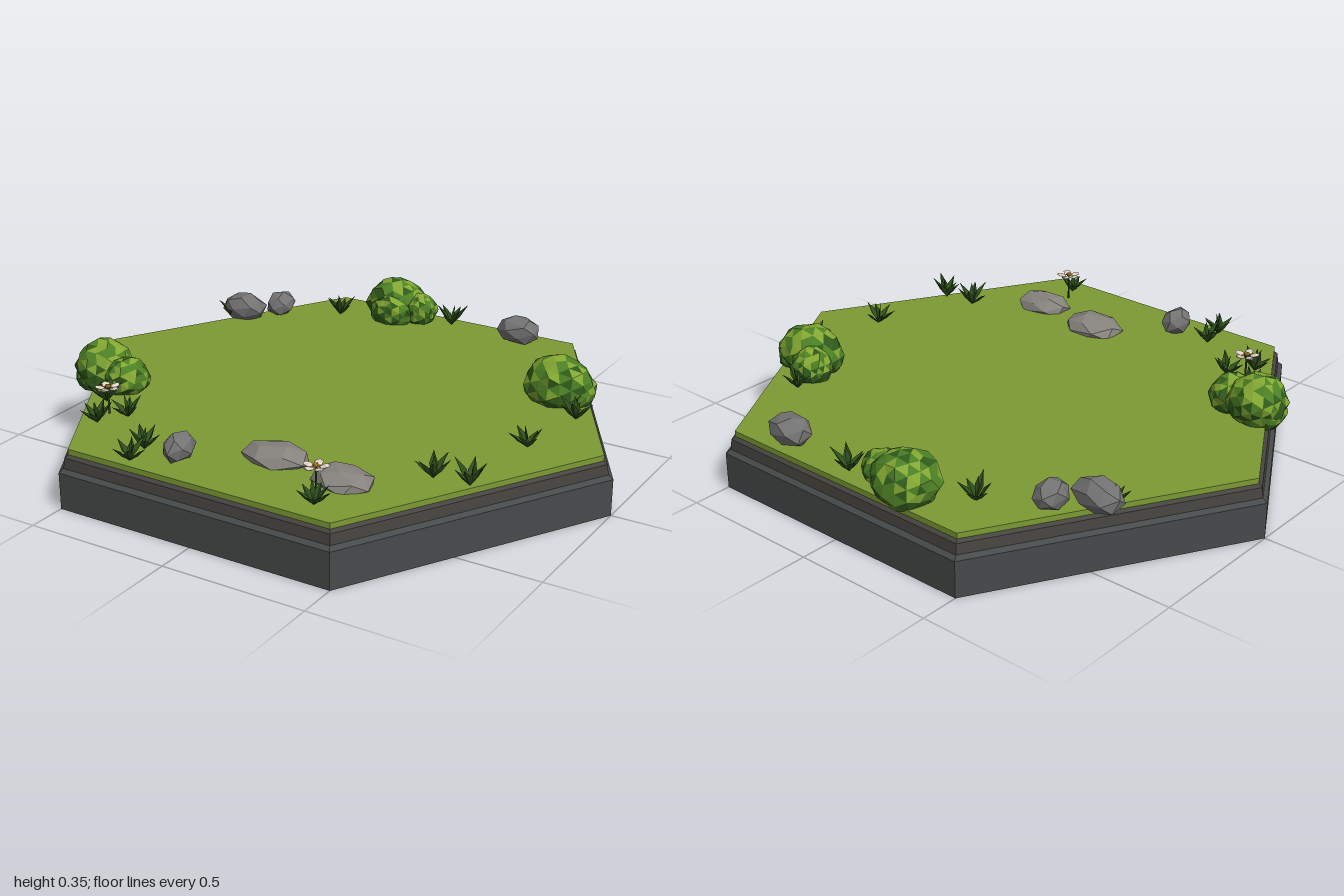
import * as THREE from 'three';
import { ConvexGeometry } from 'three/addons/geometries/ConvexGeometry.js';

const TOP = 0.2; // height of the lawn
const mat = (color, side = THREE.FrontSide) => new THREE.MeshStandardMaterial({ color, flatShading: true, side });
const stone = mat(0x474a4a), soil = mat(0x45443f), lawn = mat(0x7c9a33);
const rockMat = mat(0x87847f), darkRockMat = mat(0x737373);
const leafGreens = [mat(0x2f5a1c), mat(0x4c8024), mat(0x83a832)];
const blade = mat(0x2f4f1c, THREE.DoubleSide), petalMat = mat(0xe6d5c6, THREE.DoubleSide), heartMat = mat(0xc9962e);

// Repeatable pseudo random value from a position
function hash(x, y, z) {
  const s = Math.sin(x * 127.1 + y * 311.7 + z * 74.7) * 43758.5453;
  return s - Math.floor(s);
}
const jitter = (v, seed) => hash(Math.round(v.x * 100) + seed, Math.round(v.y * 100), Math.round(v.z * 100));

function add(parent, name, geometry, material, x = 0, y = 0, z = 0) {
  const mesh = new THREE.Mesh(geometry, material);
  mesh.name = name;
  mesh.position.set(x, y, z);
  parent.add(mesh);
  return mesh;
}

// Hexagonal layer with corners on the x axis
function hexLayer(parent, name, rTop, rBottom, y0, y1, material) {
  const g = new THREE.CylinderGeometry(rTop, rBottom, y1 - y0, 6, 1, false, Math.PI / 2);
  add(parent, name, g, material, 0, (y0 + y1) / 2, 0);
}

// Rounded clump of foliage whose facets take one of three greens
function foliage(rx, ry, rz, seed) {
  const g = new THREE.IcosahedronGeometry(1, 2);
  const p = g.attributes.position, v = new THREE.Vector3();
  for (let i = 0; i < p.count; i++) {
    v.fromBufferAttribute(p, i);
    v.multiplyScalar(0.9 + 0.15 * jitter(v, seed));
    p.setXYZ(i, v.x * rx, v.y * ry, v.z * rz);
  }
  for (let i = 0; i < p.count; i += 3) {
    const height = (p.getY(i) + p.getY(i + 1) + p.getY(i + 2)) / (3 * ry);
    const tone = 0.5 + height * 0.3 + (hash(i, seed, 3) - 0.5) * 1.1;
    g.addGroup(i, 3, tone < 0.36 ? 0 : tone < 0.82 ? 1 : 2);
  }
  return g;
}

// Faceted boulder: hull of points spread over an ellipsoid
function boulder(rx, ry, rz, seed) {
  const points = [], n = 20;
  for (let i = 0; i < n; i++) {
    const y = 1 - (2 * i + 1) / n, r = Math.sqrt(1 - y * y), a = i * 2.4 + seed;
    const k = 0.92 + 0.14 * hash(i, seed, 1);
    points.push(new THREE.Vector3(Math.cos(a) * r * rx * k, y * ry * k, Math.sin(a) * r * rz * k));
  }
  return new ConvexGeometry(points);
}

// Folded pointed leaf leaning outwards along +z
function leafGeometry(reach, height, width) {
  const g = new THREE.BufferGeometry();
  g.setAttribute('position', new THREE.Float32BufferAttribute([
    0, 0, 0,
    -width, height * 0.55, reach * 0.4,
    0, height * 0.4, reach * 0.5,
    width, height * 0.55, reach * 0.4,
    0, height, reach,
  ], 3));
  g.setIndex([0, 2, 1, 0, 3, 2, 1, 2, 4, 2, 3, 4]);
  g.computeVertexNormals();
  return g;
}

function tuft(parent, x, z, seed) {
  const g = new THREE.Group();
  g.name = 'grassTuft';
  g.position.set(x, TOP, z);
  for (let i = 0; i < 6; i++) {
    const k = hash(i, seed, 7);
    const leaf = add(g, 'leaf', leafGeometry(0.046 + 0.018 * k, 0.045 + 0.035 * hash(i, seed, 2), 0.014), blade);
    leaf.rotation.y = (i * Math.PI) / 3 + seed + k * 0.4;
  }
  const upright = add(g, 'centreLeaf', leafGeometry(0.012, 0.08, 0.01), blade);
  upright.rotation.y = seed * 2;
  parent.add(g);
}

function flower(parent, x, z, seed) {
  const g = new THREE.Group();
  g.name = 'flower';
  g.position.set(x, TOP, z);
  add(g, 'stem', new THREE.CylinderGeometry(0.003, 0.004, 0.09, 5), blade, 0, 0.045, 0);
  for (let i = 0; i < 5; i++) {
    const a = (i * Math.PI * 2) / 5 + seed;
    const petal = add(g, 'petal', new THREE.IcosahedronGeometry(1, 0), petalMat, Math.sin(a) * 0.027, 0.092, Math.cos(a) * 0.027);
    petal.scale.set(0.015, 0.005, 0.019);
    petal.rotation.set(-0.2, a, 0, 'YXZ');
  }
  const heart = add(g, 'flowerCentre', new THREE.IcosahedronGeometry(0.011, 0), heartMat, 0, 0.096, 0);
  heart.scale.y = 0.7;
  parent.add(g);
}

export function createModel() {
  const model = new THREE.Group();
  model.name = 'hexagonalGardenTile';

  // Stepped base and lawn
  hexLayer(model, 'stoneBase', 1, 1, 0, 0.125, stone);
  hexLayer(model, 'baseChamfer', 0.983, 1, 0.125, 0.137, stone);
  hexLayer(model, 'soilBand', 0.978, 0.983, 0.137, 0.172, soil);
  hexLayer(model, 'soilChamfer', 0.965, 0.978, 0.172, 0.181, soil);
  hexLayer(model, 'lawn', 0.965, 0.965, 0.181, TOP, lawn);

  // Bushes: lumps as [x, y, z, rx, ry, rz]
  const bushes = [
    [[-0.215, 0.25, -0.765, 0.115, 0.1, 0.105], [-0.105, 0.245, -0.755, 0.065, 0.065, 0.06], [-0.2, 0.235, -0.705, 0.085, 0.07, 0.06]],
    [[0.655, 0.25, -0.335, 0.12, 0.1, 0.1], [0.585, 0.24, -0.4, 0.075, 0.07, 0.07], [0.71, 0.24, -0.345, 0.07, 0.07, 0.08]],
    [[-0.735, 0.26, 0.335, 0.1, 0.092, 0.1], [-0.625, 0.245, 0.35, 0.075, 0.072, 0.08], [-0.765, 0.225, 0.345, 0.065, 0.06, 0.075]],
  ];
  bushes.forEach((lumps, b) => {
    const bush = new THREE.Group();
    bush.name = 'bush';
    lumps.forEach(([x, y, z, rx, ry, rz], i) => add(bush, 'foliage', foliage(rx, ry, rz, b * 5 + i), leafGreens, x, y, z));
    model.add(bush);
  });

  // Rocks: [x, y, z, rx, ry, rz, turn]
  const rocks = [
    [0.11, 0.205, 0.545, 0.118, 0.043, 0.092, 0],
    [0.375, 0.207, 0.587, 0.106, 0.043, 0.086, -0.1],
    [-0.14, 0.243, 0.715, 0.048, 0.05, 0.065, 0],
    [0.298, 0.24, -0.76, 0.083, 0.053, 0.066, 0],
    [-0.695, 0.24, -0.45, 0.092, 0.053, 0.066, -0.1],
    [-0.595, 0.243, -0.545, 0.05, 0.05, 0.066, 0],
  ];
  rocks.forEach(([x, y, z, rx, ry, rz, turn], i) => {
    add(model, 'rock', boulder(rx, ry, rz, i * 1.3), i < 2 ? rockMat : darkRockMat, x, y, z).rotation.y = turn;
  });

  // Grass tufts and flowers around the rim
  const tufts = [
    [-0.4, -0.66], [0.015, -0.78], [0.56, -0.49], [0.775, -0.21], [0.735, 0.07], [0.59, 0.42], [0.71, 0.41],
    [-0.62, 0.47], [-0.48, 0.535], [-0.535, 0.625], [-0.28, 0.71], [-0.265, 0.8], [0.38, 0.76], [-0.73, -0.43],
  ];
  tufts.forEach(([x, z], i) => tuft(model, x, z, i * 0.7));
  flower(model, -0.55, 0.545, 0.3);
  flower(model, 0.35, 0.7, 0.9);

  return model;
}
